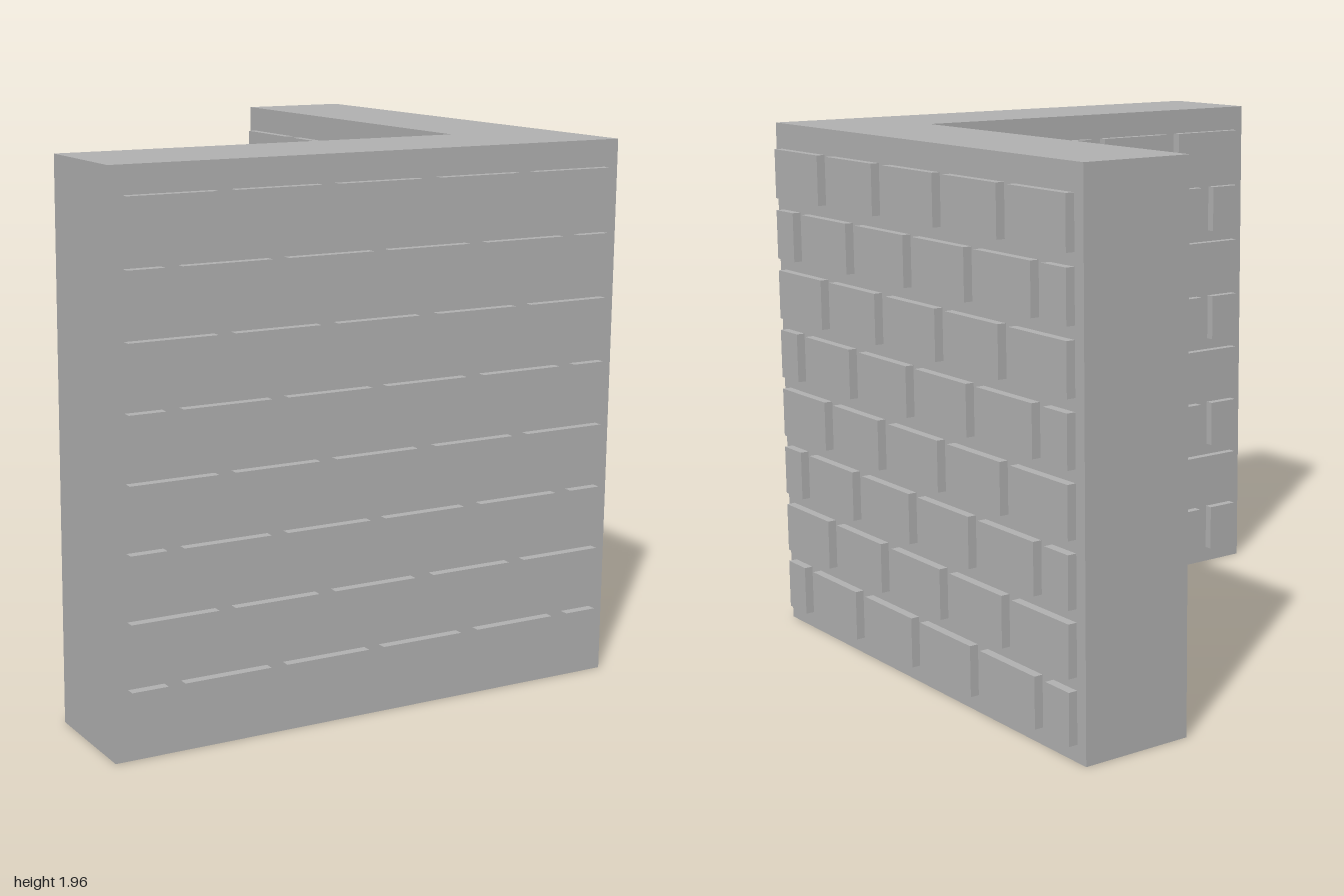
import * as THREE from 'three';

const HEIGHT = 1.957, RELIEF = 0.033;
const X0 = -1, X1 = 0.965, Z0 = -0.993, Z1 = 0.96;   // outer faces of the corner wall
const IN_X = 0.545, IN_Z = 0.538;                    // inner faces
const ROWS = 8, ROW_START = 0.062, ROW_PITCH = 0.2306, BRICK_H = 0.185;

// Brick spans measured from the free end of a wall
const HALF_ROW = [[0.048, 0.179], [0.24, 0.563], [0.624, 0.946], [1.005, 1.326], [1.396, 1.718], [1.784, 1.91]];
const FULL_ROW = [[0.048, 0.367], [0.428, 0.747], [0.81, 1.131], [1.205, 1.524], [1.588, 1.909]];

export function createModel() {
  const model = new THREE.Group();
  model.name = 'brickCornerWall';
  const stone = new THREE.MeshStandardMaterial({ color: 0xb0b0b0 });
  stone.name = 'grey stone';

  // L-shaped core, drawn in plan (shape y = -z) and extruded upward
  const plan = new THREE.Shape([
    [X0, Z1], [X1, Z1], [X1, Z0], [IN_X, Z0], [IN_X, IN_Z], [X0, IN_Z],
  ].map(([x, z]) => new THREE.Vector2(x, -z)));
  const coreGeo = new THREE.ExtrudeGeometry(plan, { depth: HEIGHT, bevelEnabled: false });
  coreGeo.rotateX(-Math.PI / 2);
  const core = new THREE.Mesh(coreGeo, stone);
  core.name = 'wallCore';
  model.add(core);

  // Raised bricks on one face; axis is the direction the courses run,
  // face the wall plane, out its outward sign, limit where the face ends
  function addBricks(name, axis, face, out, limit) {
    const group = new THREE.Group();
    group.name = name;
    const start = axis === 'x' ? X0 : Z0;
    const sink = 0.01;
    const depth = RELIEF + sink;
    const across = face + out * (RELIEF - sink) / 2;
    for (let row = 0; row < ROWS; row++) {
      const y = ROW_START + row * ROW_PITCH + BRICK_H / 2;
      for (const [from, to] of row % 2 ? FULL_ROW : HALF_ROW) {
        const a = start + from, b = Math.min(start + to, limit);
        if (a >= limit) continue;
        const length = b - a, mid = (a + b) / 2;
        const alongX = axis === 'x';
        const brick = new THREE.Mesh(
          new THREE.BoxGeometry(alongX ? length : depth, BRICK_H, alongX ? depth : length), stone);
        brick.position.set(alongX ? mid : across, y, alongX ? across : mid);
        brick.name = 'brick';
        group.add(brick);
      }
    }
    model.add(group);
  }
  addBricks('frontBricks', 'x', Z1, 1, X1);
  addBricks('sideBricks', 'z', X1, 1, Z1);
  addBricks('innerFrontWallBricks', 'x', IN_Z, -1, IN_X + 0.005);
  addBricks('innerSideWallBricks', 'z', IN_X, -1, IN_Z + 0.005);

  return model;
}
